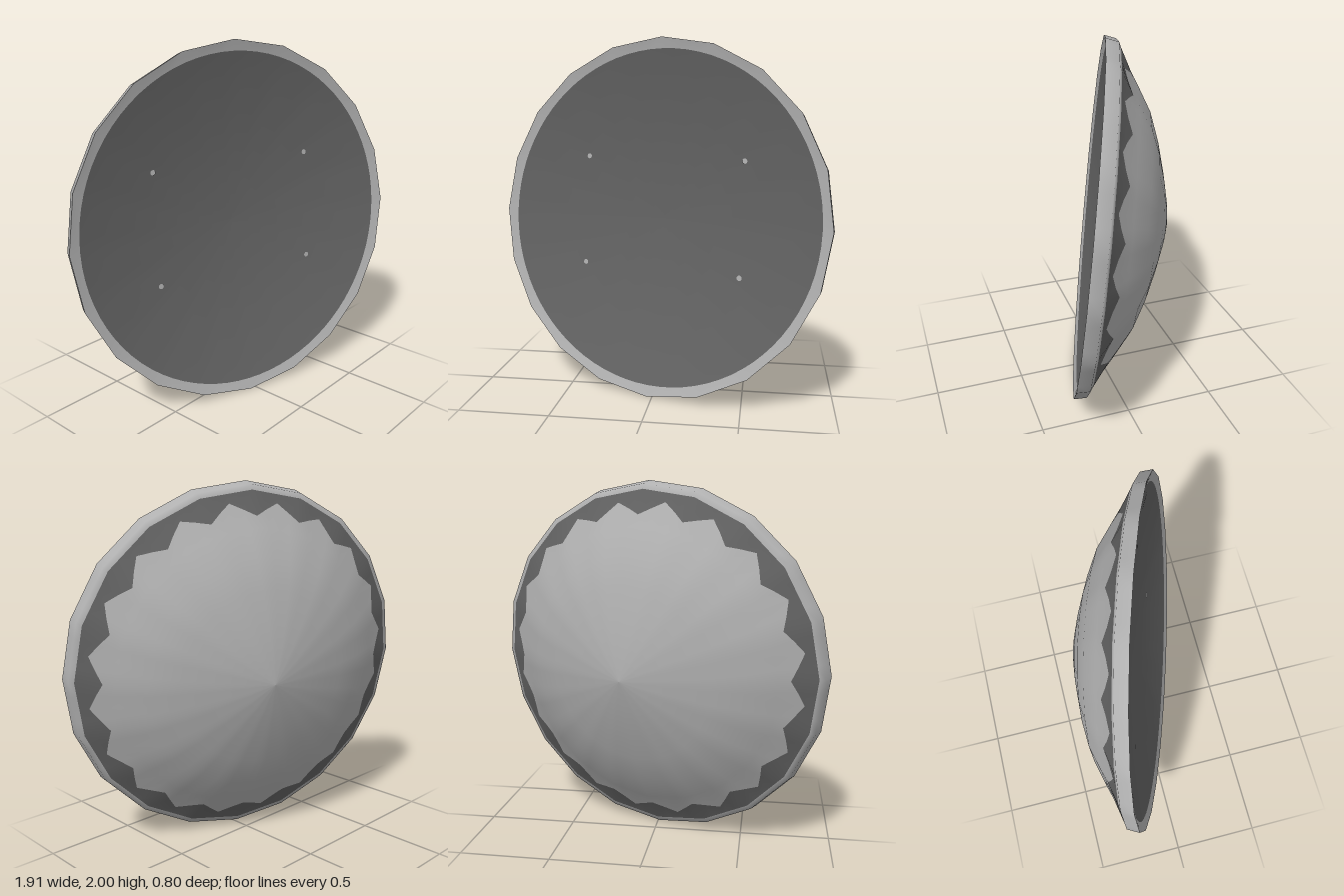
import * as THREE from 'three';

const SIDES = 20;
const SEG = SIDES * 4;
const paleMetal = new THREE.MeshStandardMaterial({ color: 0xb0b0b0 });
paleMetal.name = 'paleMetal';
const darkLeather = new THREE.MeshStandardMaterial({ color: 0x626262 });
darkLeather.name = 'darkLeather';

// Radius factor that turns a circle into the twenty-sided outline
const polygon = (k) => {
  const half = Math.PI / SIDES;
  const a = ((k % 4) / 4) * 2 * half;
  return Math.cos(half) / Math.cos(a - half);
};
// Scalloped border radius: dark waves reach inward at each outline corner
const scallop = (k) => 0.875 - 0.04 * Math.cos((k / 4) * Math.PI * 2);

// Shallow dish of the front
const dish = (r) => -0.14 * (1 - r * r);
// Domed back: depth by radius, straight between a few points
const domePoints = [[0, -0.45], [0.15, -0.425], [0.3, -0.388], [0.48, -0.335], [0.64, -0.273], [0.78, -0.188],
  [0.89, -0.115], [0.99, -0.07]];
const dome = (r) => {
  const i = Math.max(1, domePoints.findIndex((p) => p[0] >= r));
  const [[r0, z0], [r1, z1]] = [domePoints[i - 1], domePoints[i]];
  return z0 + ((z1 - z0) * (r - r0)) / (r1 - r0);
};

// Skin closed rings in order; ring(k) gives [radius, z]. Each band names its material slot.
function skin(name, materials, rings, slots) {
  const pos = [], index = [];
  const geo = new THREE.BufferGeometry();
  rings.forEach((ring) => {
    for (let k = 0; k < SEG; k++) {
      const a = (k / SEG) * Math.PI * 2;
      const [r, z] = ring(k);
      const x = r * polygon(k);
      pos.push(x * Math.cos(a), x * Math.sin(a), z);
    }
  });
  slots.forEach((slot, i) => {
    geo.addGroup(index.length, SEG * 6, slot);
    for (let k = 0; k < SEG; k++) {
      const a = i * SEG + k, b = i * SEG + ((k + 1) % SEG);
      const c = a + SEG, d = b + SEG;
      index.push(a, c, b, b, c, d);
    }
  });
  geo.setAttribute('position', new THREE.Float32BufferAttribute(pos, 3));
  geo.setIndex(index);
  geo.computeVertexNormals();
  const mesh = new THREE.Mesh(geo, materials);
  mesh.name = name;
  return mesh;
}

export function createModel() {
  const shield = new THREE.Group();
  shield.name = 'roundShield';
  const materials = [paleMetal, darkLeather];

  // Dished front: dark round face with a pale lip around it
  const front = [0, 0.2, 0.4, 0.6, 0.8].map((r) => () => [r, dish(r)]);
  front.push((k) => [0.942 / polygon(k), dish(0.942)], () => [1.003, 0]);
  shield.add(skin('dishedFront', materials, front, [1, 1, 1, 1, 1, 0]));

  // Four small rivet heads on the front face
  for (const x of [-0.486, 0.486]) {
    for (const y of [-0.29, 0.34]) {
      const rivet = new THREE.Mesh(new THREE.CircleGeometry(0.015, 12), paleMetal);
      rivet.name = 'rivet';
      rivet.position.set(x, y, dish(Math.hypot(x, y)) + 0.006);
      shield.add(rivet);
    }
  }

  // Back: pale rim, dark scalloped border, pale dome
  const back = [() => [1.003, 0], () => [0.99, -0.07], () => [0.962, dome(0.962)]];
  back.push((k) => [scallop(k), dome(scallop(k))]);
  domePoints.slice(0, 6).reverse().forEach((p) => back.push(() => p));
  shield.add(skin('domedBack', materials, back, [0, 0, 1, 0, 0, 0, 0, 0, 0]));

  // Turned to one side and leaning back
  shield.rotation.set(-0.097, -0.32, 0, 'YXZ');
  shield.position.set(-0.003, 1.001, 0.07);

  const model = new THREE.Group();
  model.add(shield);
  return model;
}
